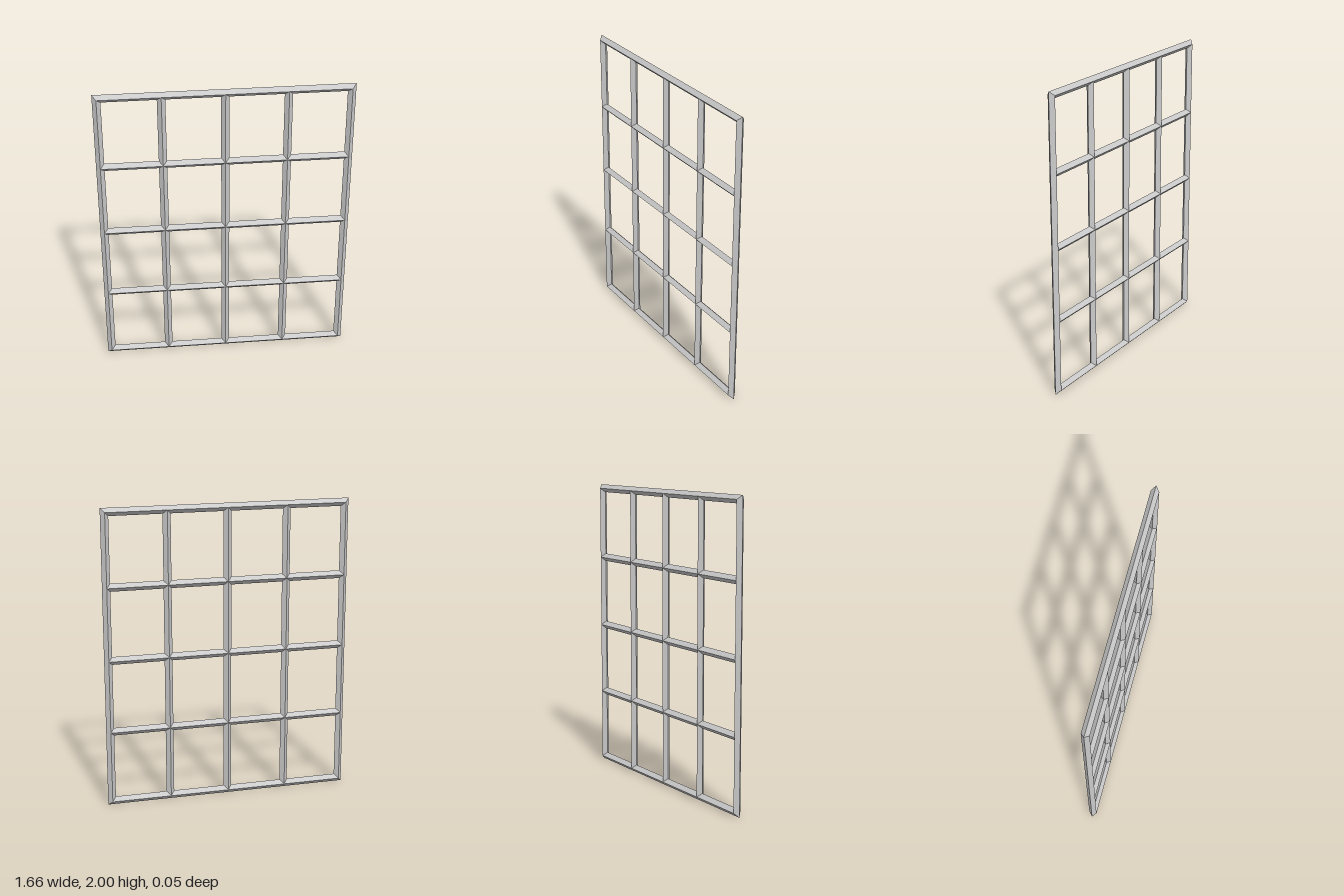
import * as THREE from 'three';

const R = 0.0265;                 // half thickness of the diamond section
const N = 4;                      // panes each way
const HALF_W = 0.828 - R;         // ridge to centre, across
const xs = [], ys = [];
for (let i = 0; i <= N; i++) {
  xs.push(-HALF_W + (2 * HALF_W * i) / N);
  ys.push(R + ((2 - 2 * R) * i) / N);
}

// One full bar of diamond section, mitred wherever it meets a crossing bar.
function barGeometry(stops, line, at, vertical) {
  const pos = [];
  const place = ([t, s, z]) => (vertical ? [at + s, t, z] : [t, at + s, z]);
  for (let i = 0; i < N; i++) {
    // inset of a side edge at a node: inner mitre, straight run, or outer corner
    const inset = (side, atEnd) => {
      const outside = line === (side > 0 ? N : 0);
      if (!outside) return R;
      return atEnd ? -R : 0;
    };
    const ring = (t, dir, atEnd) => [
      [t + dir * inset(1, atEnd), R, 0],
      [t, 0, R],
      [t + dir * inset(-1, atEnd), -R, 0],
      [t, 0, -R],
    ].map(place);
    const a = ring(stops[i], 1, i === 0);
    const b = ring(stops[i + 1], -1, i === N - 1);
    for (let k = 0; k < 4; k++) {
      const n = (k + 1) % 4;
      const quad = [a[k], a[n], b[n], b[k]];
      if (vertical) quad.reverse();
      for (const j of [0, 1, 2, 0, 2, 3]) pos.push(...quad[j]);
    }
  }
  const geo = new THREE.BufferGeometry();
  geo.setAttribute('position', new THREE.Float32BufferAttribute(pos, 3));
  geo.computeVertexNormals();
  return geo;
}

export function createModel() {
  const group = new THREE.Group();
  group.name = 'windowLattice';
  const material = new THREE.MeshStandardMaterial({ color: 0xcccccc, flatShading: true });
  const add = (name, geo) => {
    const mesh = new THREE.Mesh(geo, material);
    mesh.name = name;
    group.add(mesh);
  };
  // Outer frame rails and inner glazing bars
  for (let i = 0; i <= N; i++) {
    const outer = i === 0 || i === N;
    add(outer ? (i ? 'topRail' : 'bottomRail') : `horizontalBar${i}`, barGeometry(xs, i, ys[i], false));
    add(outer ? (i ? 'leftStile' : 'rightStile') : `verticalBar${i}`, barGeometry(ys, i, xs[i], true));
  }
  return group;
}
